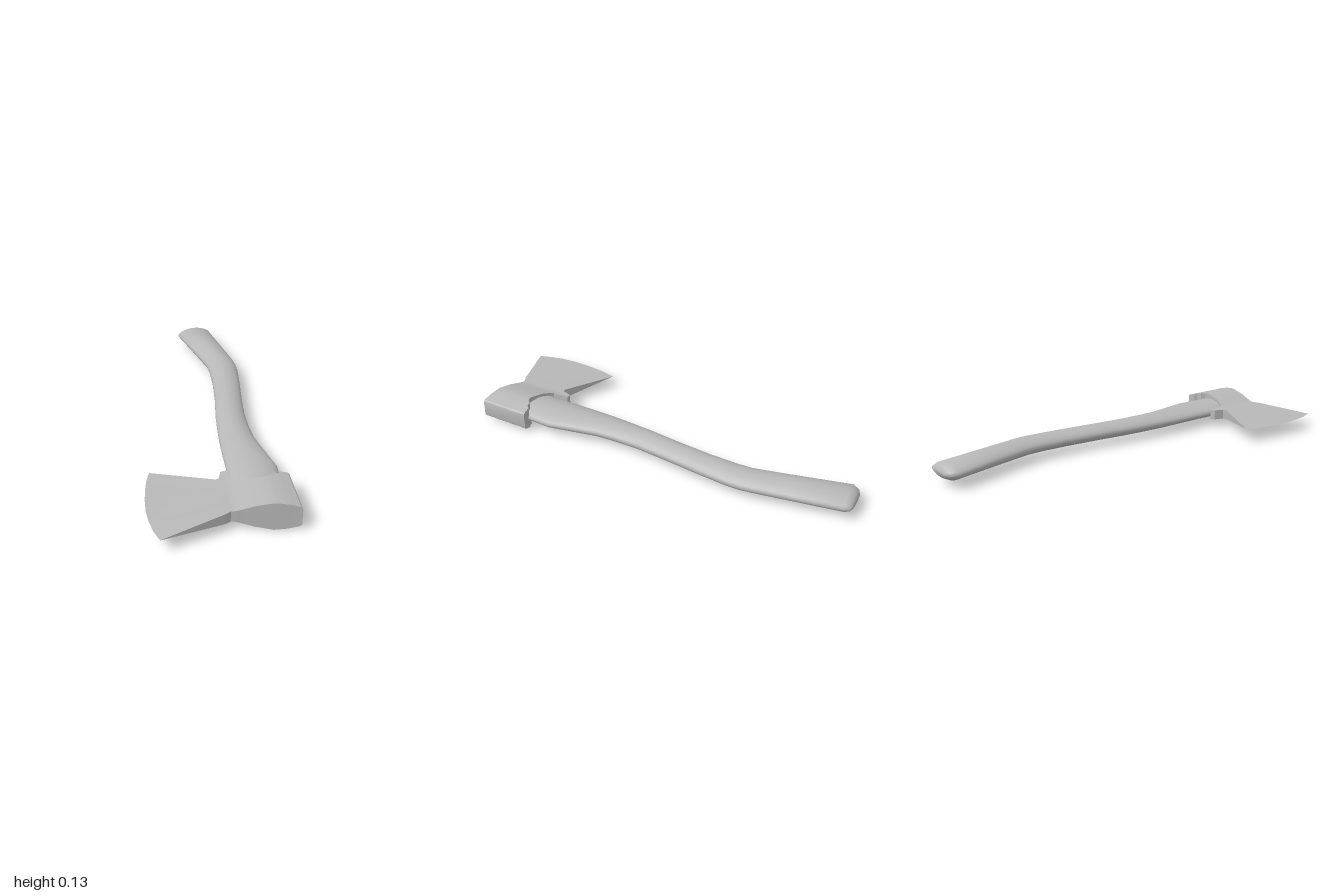
import * as THREE from 'three';
import { toCreasedNormals } from 'three/addons/utils/BufferGeometryUtils.js';

const CY = 0.066; // mid-plane height of the axe lying flat

// Skin a list of equal-length closed loops (counter-clockwise about the travel direction) and cap both ends
function skin(loops, crease) {
  const pos = [];
  const tri = (a, b, c) => {
    const area = b.clone().sub(a).cross(c.clone().sub(a)).length();
    if (area > 1e-9) for (const p of [a, b, c]) pos.push(p.x, p.y, p.z);
  };
  const n = loops[0].length;
  for (let i = 0; i < loops.length - 1; i++) {
    for (let k = 0; k < n; k++) {
      const m = (k + 1) % n;
      const [p, q] = [loops[i], loops[i + 1]];
      tri(p[k], p[m], q[k]);
      tri(p[m], q[m], q[k]);
    }
  }
  const first = loops[0], last = loops[loops.length - 1];
  for (let k = 1; k < n - 1; k++) {
    tri(first[0], first[k + 1], first[k]);
    tri(last[0], last[k], last[k + 1]);
  }
  const geo = new THREE.BufferGeometry();
  geo.setAttribute('position', new THREE.Float32BufferAttribute(pos, 3));
  return toCreasedNormals(geo, crease);
}

// Axe head: columns from the cutting edge to the poll
function headGeometry() {
  // Curved cutting edge, [x, z]
  const edge = [[-0.28, 0.515], [-0.295, 0.575], [-0.305, 0.64], [-0.312, 0.72],
    [-0.313, 0.8], [-0.306, 0.87], [-0.292, 0.935], [-0.27, 0.995]];
  // [x, back z, front z, half thickness]
  const columns = [
    [-0.005, 0.636, 0.892, 0.024], [0.01, 0.63, 0.884, 0.0245], [0.025, 0.582, 0.875, 0.025],
    [0.04, 0.577, 0.876, 0.0255], [0.054, 0.577, 0.878, 0.029], [0.058, 0.66, 0.878, 0.03],
    [0.08, 0.675, 0.881, 0.037], [0.1, 0.682, 0.883, 0.043], [0.12, 0.687, 0.886, 0.05],
    [0.16, 0.694, 0.891, 0.058], [0.2, 0.7, 0.897, 0.0655], [0.22, 0.694, 0.899, 0.064],
    [0.235, 0.676, 0.901, 0.062], [0.258, 0.672, 0.904, 0.059], [0.27, 0.657, 0.905, 0.056],
    [0.305, 0.655, 0.91, 0.047], [0.311, 0.655, 0.911, 0.041], [0.313, 0.655, 0.911, 0.034],
  ];
  const loop = (pts, h) => [
    ...pts.map(([x, z]) => new THREE.Vector3(x, CY + h, z)),
    ...pts.slice().reverse().map(([x, z]) => new THREE.Vector3(x, CY - h, z)),
  ];
  const loops = [loop(edge, 0)];
  for (const [x, back, front, h] of columns) {
    const pts = edge.map((_, j) => [x, back + (front - back) * j / (edge.length - 1)]);
    loops.push(loop(pts, h));
  }
  return skin(loops, 0.45);
}

// Handle: flattened oval sections swept from the rounded butt into the head
function handleGeometry() {
  // Quarter of the unit section, mirrored to a full loop
  const quarter = [[1, 0.12], [0.93, 0.36], [0.77, 0.6], [0.52, 0.83], [0.2, 1]];
  const half = [...quarter, ...quarter.slice().reverse().map(([x, y]) => [-x, y])];
  const unit = [...half, ...half.map(([x, y]) => [-x, -y])];
  // [x min, z there, x max, z there, half thickness]
  const sections = [
    [0.045, -0.993, 0.15, -0.998, 0.012], [0.016, -0.978, 0.172, -0.99, 0.027],
    [0.0, -0.945, 0.183, -0.968, 0.04], [0.054, -0.74, 0.224, -0.75, 0.04],
    [0.1, -0.56, 0.26, -0.56, 0.04], [0.112, -0.51, 0.267, -0.51, 0.04],
    [0.117, -0.44, 0.268, -0.44, 0.04], [0.114, -0.3, 0.256, -0.3, 0.04],
    [0.1, -0.12, 0.237, -0.12, 0.04], [0.08, 0.05, 0.222, 0.05, 0.04],
    [0.07, 0.18, 0.222, 0.18, 0.04], [0.064, 0.28, 0.229, 0.28, 0.04],
    [0.061, 0.41, 0.257, 0.41, 0.04], [0.06, 0.535, 0.285, 0.535, 0.04],
    [0.06, 0.66, 0.279, 0.66, 0.04], [0.062, 0.76, 0.275, 0.76, 0.04],
  ];
  const loops = sections.map(([x0, z0, x1, z1, h]) => unit.map(([u, v]) => {
    const t = (u + 1) / 2;
    return new THREE.Vector3(x0 + (x1 - x0) * t, CY + v * h, z0 + (z1 - z0) * t);
  }));
  return skin(loops, 0.8);
}

export function createModel() {
  const group = new THREE.Group();
  group.name = 'axe';
  const grey = new THREE.MeshStandardMaterial({ color: 0xb8b8b8 });
  grey.name = 'plain grey';
  const add = (name, geometry) => {
    const mesh = new THREE.Mesh(geometry, grey);
    mesh.name = name;
    group.add(mesh);
  };
  add('axeHead', headGeometry());
  add('handle', handleGeometry());
  return group;
}
